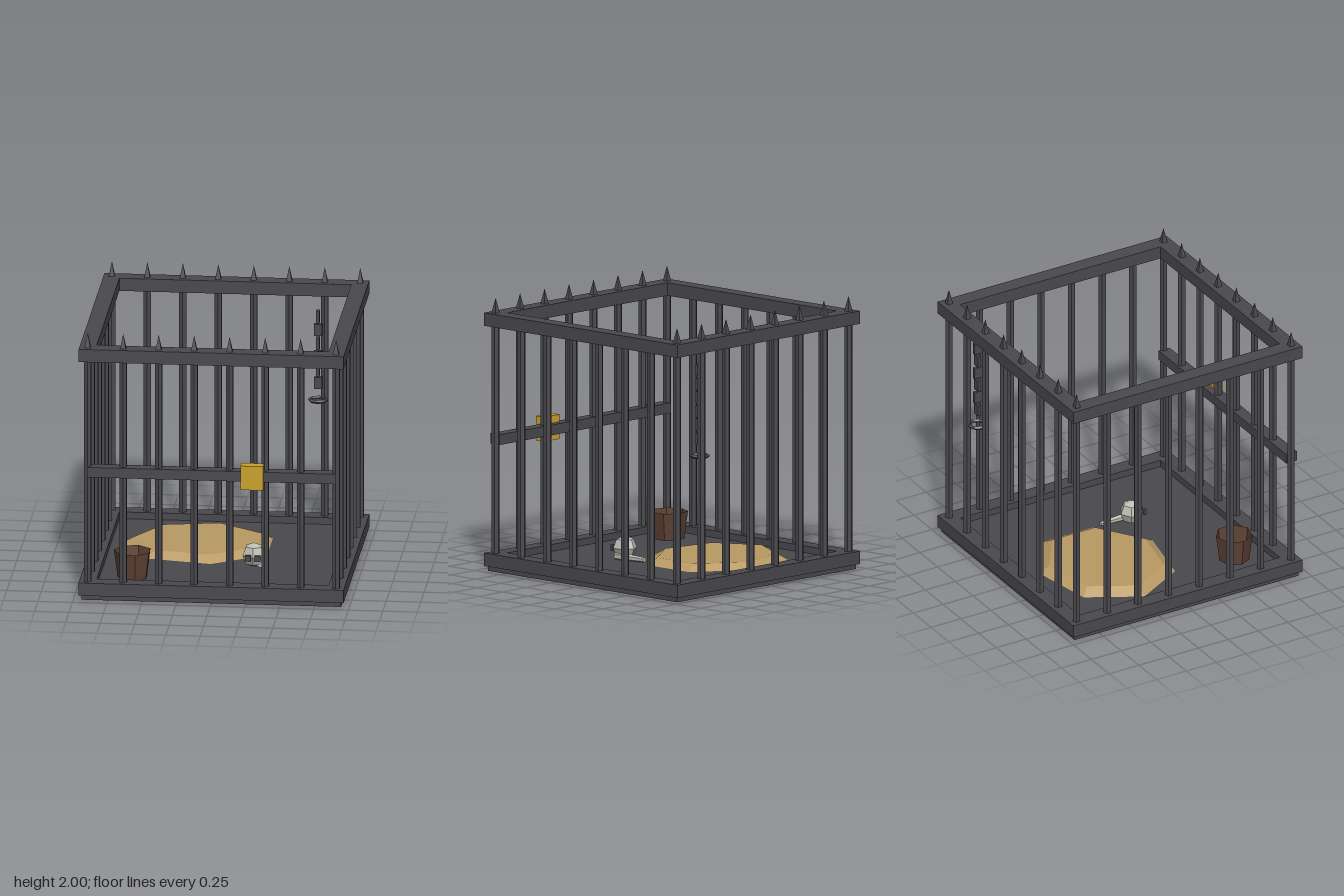
import * as THREE from 'three';

export function createModel() {
  const model = new THREE.Group();
  const mat = (name, color, opts = {}) => {
    const m = new THREE.MeshStandardMaterial({ color, flatShading: true, ...opts });
    m.name = name;
    return m;
  };
  const iron = mat('iron', 0x4a494e);
  const brass = mat('brass', 0xc9a22c);
  const straw = mat('straw', 0xb89a64);
  const wood = mat('wood', 0x5e4234, { side: THREE.DoubleSide });
  const bone = mat('bone', 0xbcbcb2);

  // Everything hangs in one group, shifted so the padlock stays inside the centred bounds
  const cage = new THREE.Group();
  cage.name = 'cage';
  cage.position.z = -0.016;
  model.add(cage);

  const add = (name, geo, material, x, y, z) => {
    const mesh = new THREE.Mesh(geo, material);
    mesh.name = name;
    mesh.position.set(x, y, z);
    cage.add(mesh);
    return mesh;
  };
  const box = (name, material, w, h, d, x, y, z) =>
    add(name, new THREE.BoxGeometry(w, h, d), material, x, y, z);

  // Floor slab
  box('floor', iron, 1.88, 0.08, 1.88, 0, 0.04, 0);

  // Bottom and top frames
  for (const [name, y] of [['bottomBeam', 0.083], ['topBeam', 1.843]]) {
    for (const s of [-1, 1]) {
      box(name, iron, 1.92, 0.095, 0.12, 0, y, s * 0.9);
      box(name, iron, 0.12, 0.095, 1.68, s * 0.9, y, 0);
    }
  }

  // Bars on all four sides, spikes on the front and back beams
  const barGeo = new THREE.CylinderGeometry(0.03, 0.03, 1.74, 6);
  const spikeGeo = new THREE.ConeGeometry(0.03, 0.11, 4, 1, false, Math.PI / 4);
  for (let i = 0; i < 8; i++) {
    const t = -0.9 + (1.8 * i) / 7;
    for (const s of [-1, 1]) {
      add('bar', barGeo, iron, t, 0.96, s * 0.9);
      add('spike', spikeGeo, iron, t, 1.945, s * 0.9);
      if (i > 0 && i < 7) add('bar', barGeo, iron, s * 0.9, 0.96, t);
    }
  }

  // Front cross rail and padlock
  box('crossRail', iron, 1.8, 0.075, 0.09, 0, 0.963, 0.905);
  box('padlock', brass, 0.165, 0.18, 0.08, 0.298, 0.965, 0.951);

  // Hanging chain with alternating links, and its shackle
  for (let i = 0; i < 6; i++) {
    const flat = i % 2 === 0;
    box('chainLink', iron, flat ? 0.025 : 0.06, 0.088, flat ? 0.06 : 0.025, 0.6, 1.645 - i * 0.1, -0.84);
  }
  const shackle = add('shackle', new THREE.TorusGeometry(0.06, 0.014, 4, 8), iron, 0.6, 1.017, -0.84);
  shackle.rotation.x = Math.PI / 2;

  // Straw bed: squashed seven-sided mound
  const bed = add('strawBed',
    new THREE.CylinderGeometry(0.475, 0.6, 0.065, 7, 1, false, -Math.PI / 2), straw, -0.2, 0.0945, -0.25);
  bed.scale.z = 0.867;

  // Bucket: open tapered tube
  add('bucket',
    new THREE.CylinderGeometry(0.136, 0.11, 0.2, 7, 1, true, -Math.PI / 2), wood, -0.603, 0.18, 0.598);

  // Skull with eye sockets
  add('skull', new THREE.SphereGeometry(0.09, 6, 4, Math.PI / 6), bone, 0.24, 0.165, 0.24);
  for (const s of [-1, 1]) box('eyeSocket', iron, 0.042, 0.042, 0.02, 0.24 + s * 0.035, 0.16, 0.322);

  // Loose bone lying beside the skull
  const loose = add('looseBone', new THREE.CylinderGeometry(0.018, 0.032, 0.27, 6), bone, 0.288, 0.108, 0.14);
  loose.rotation.x = -Math.PI / 2;
  loose.rotation.z = 0.03;

  return model;
}
